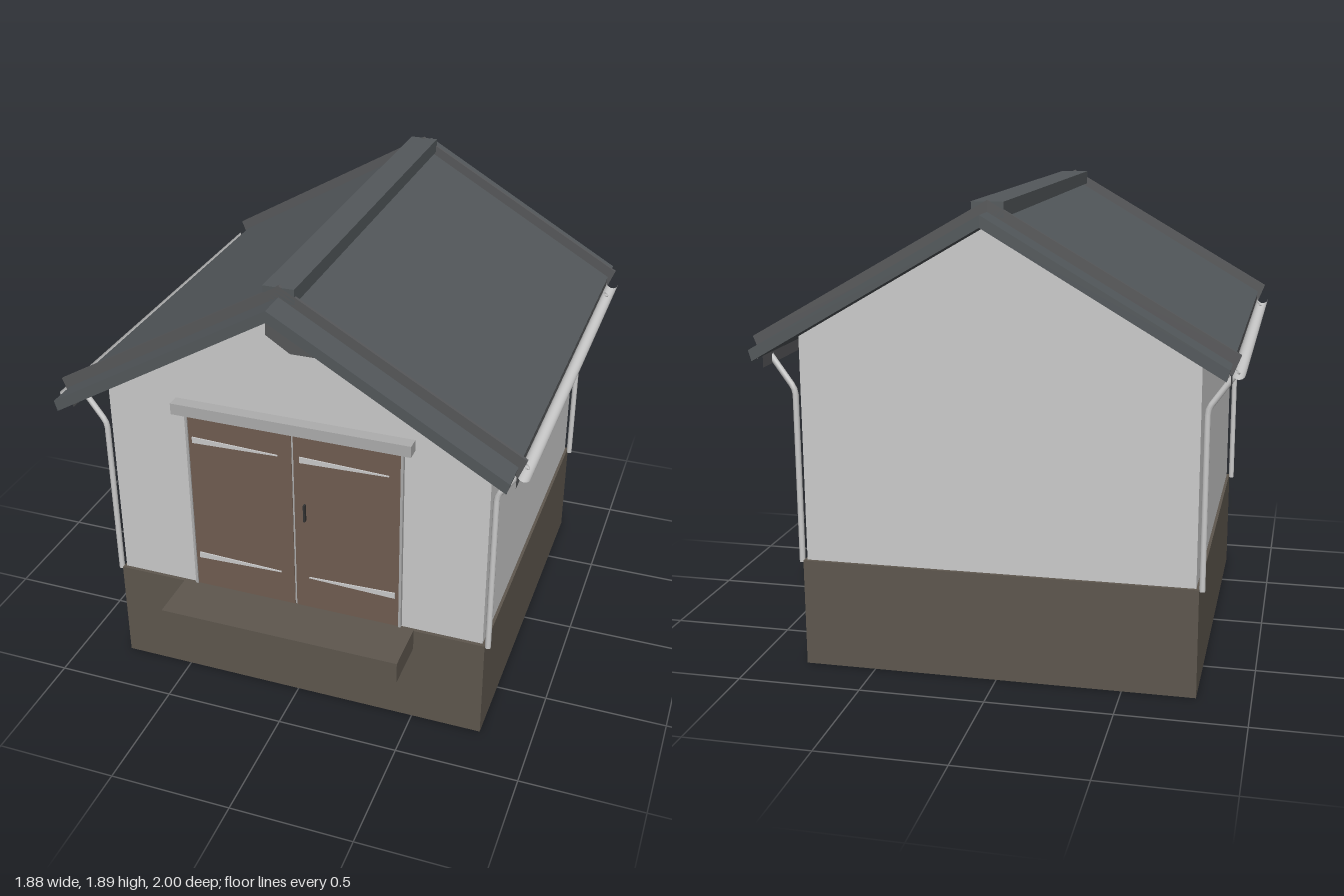
import * as THREE from 'three';

const mat = (color, side = THREE.FrontSide) =>
  new THREE.MeshStandardMaterial({ color, side });

export function createModel() {
  const group = new THREE.Group();
  const grey = mat(0xcccccc), stone = mat(0x5e574e), wood = mat(0x705d51);
  const roofMat = mat(0x53585b), trim = mat(0xadadad), dark = mat(0x333333);
  const glass = mat(0x56636d), thin = mat(0x57585a, THREE.DoubleSide);
  const pipe = mat(0xcccccc, THREE.DoubleSide);

  const add = (name, geometry, material) => {
    const mesh = new THREE.Mesh(geometry, material);
    mesh.name = name;
    group.add(mesh);
    return mesh;
  };
  // Box given by its minimum and maximum corners
  const box = (name, x0, x1, y0, y1, z0, z1, material) =>
    add(name, new THREE.BoxGeometry(x1 - x0, y1 - y0, z1 - z0), material)
      .position.set((x0 + x1) / 2, (y0 + y1) / 2, (z0 + z1) / 2);
  // Front outline pushed along z
  const prism = (name, points, z0, z1, material) => {
    const shape = new THREE.Shape(points.map(p => new THREE.Vector2(...p)));
    const geometry = new THREE.ExtrudeGeometry(shape, { depth: z1 - z0, bevelEnabled: false });
    geometry.translate(0, 0, z0);
    return add(name, geometry, material);
  };

  // Plinth, doorstep and gabled walls
  box('plinth', -0.79, 0.79, 0, 0.44, -0.8, 0.785, stone);
  box('doorstep', -0.5, 0.5, 0.352, 0.443, 0.78, 1, stone);
  prism('walls', [[-0.778, 0.44], [0.778, 0.44], [0.778, 1.36], [0, 1.808], [-0.778, 1.36]],
    -0.785, 0.77, grey);

  // Roof slab, raised verge plates and ridge cap
  const chevron = (ridgeTop, xTop, yTop, xLow, yLow) => [
    [0, 1.805], [xLow, yLow], [xTop, yTop], [0, ridgeTop], [-xTop, yTop], [-xLow, yLow]];
  prism('roof', chevron(1.85, 0.892, 1.332, 0.88, 1.29), -1, 0.985, roofMat);
  for (const z of [-0.88, 0.853])
    prism('vergePlate', chevron(1.893, 0.923, 1.363, 0.893, 1.288), z, z + 0.012, thin);
  box('ridgeCap', -0.06, 0.06, 1.83, 1.887, -0.88, 0.865, roofMat);

  // Double door with jambs and lintel
  for (const s of [-1, 1]) {
    box('doorLeaf', s < 0 ? -0.437 : 0.004, s < 0 ? -0.004 : 0.437, 0.445, 1.262, 0.76, 0.782, wood);
    box('doorJamb', s * 0.441 - 0.005, s * 0.441 + 0.005, 0.445, 1.265, 0.76, 0.788, trim);
  }
  box('doorGap', -0.004, 0.004, 0.445, 1.262, 0.76, 0.779, trim);
  box('lintel', -0.485, 0.485, 1.263, 1.31, 0.76, 0.822, trim);
  box('doorHandle', 0.044, 0.052, 0.865, 0.94, 0.78, 0.797, dark);

  // Tapered strap hinges: wide end x, narrow end x, height
  for (const [a, b, y] of [[-0.42, -0.06, 1.14], [0.03, 0.39, 1.14], [-0.42, -0.06, 0.593], [0.42, 0.06, 0.593]])
    prism('hinge', [[a, y - 0.013], [b, y - 0.002], [b, y + 0.002], [a, y + 0.013]], 0.78, 0.787, grey);

  // Gable vent
  prism('gableVent', [[-0.095, 1.715], [-0.095, 1.645], [0, 1.583], [0.095, 1.583], [0.095, 1.645], [0, 1.715]],
    0.765, 0.776, thin);

  // Window on the right-hand wall: frame with an opening, pane and sill
  const frame = new THREE.Shape([[-0.09, 0.87], [0.26, 0.87], [0.26, 1.225], [-0.09, 1.225]]
    .map(p => new THREE.Vector2(...p)));
  frame.holes.push(new THREE.Path([[-0.065, 0.9], [-0.065, 1.2], [0.23, 1.2], [0.23, 0.9]]
    .map(p => new THREE.Vector2(...p))));
  const frameGeometry = new THREE.ExtrudeGeometry(frame, { depth: 0.02, bevelEnabled: false });
  frameGeometry.rotateY(Math.PI / 2).translate(0.77, 0, 0);
  add('windowFrame', frameGeometry, grey);
  box('windowPane', 0.77, 0.781, 0.9, 1.2, -0.23, 0.065, glass);
  box('windowSill', 0.77, 0.805, 0.857, 0.873, -0.275, 0.105, grey);

  // Gutters, eave flashing and downpipes on both sides
  for (const s of [-1, 1]) {
    const gutter = new THREE.CylinderGeometry(0.025, 0.025, 1.745, 16, 1, true, -Math.PI / 2, Math.PI);
    gutter.rotateX(Math.PI / 2);
    add('gutter', gutter, pipe).position.set(s * 0.915, 1.3, -0.0075);

    const flashing = new THREE.PlaneGeometry(1.745, 0.08).rotateY(Math.PI / 2);
    add('eaveFlashing', flashing, thin).position.set(s * 0.887, 1.281, -0.0075);

    for (const z of [-0.782, 0.772]) {
      const path = new THREE.CurvePath();
      const points = [[0.8, 0.43], [0.8, 1.12], [0.806, 1.145], [0.905, 1.285]]
        .map(([x, y]) => new THREE.Vector3(s * x, y, z));
      for (let i = 0; i < 3; i++) path.add(new THREE.LineCurve3(points[i], points[i + 1]));
      add('downpipe', new THREE.TubeGeometry(path, 40, 0.012, 10), pipe);
    }
  }
  return group;
}
